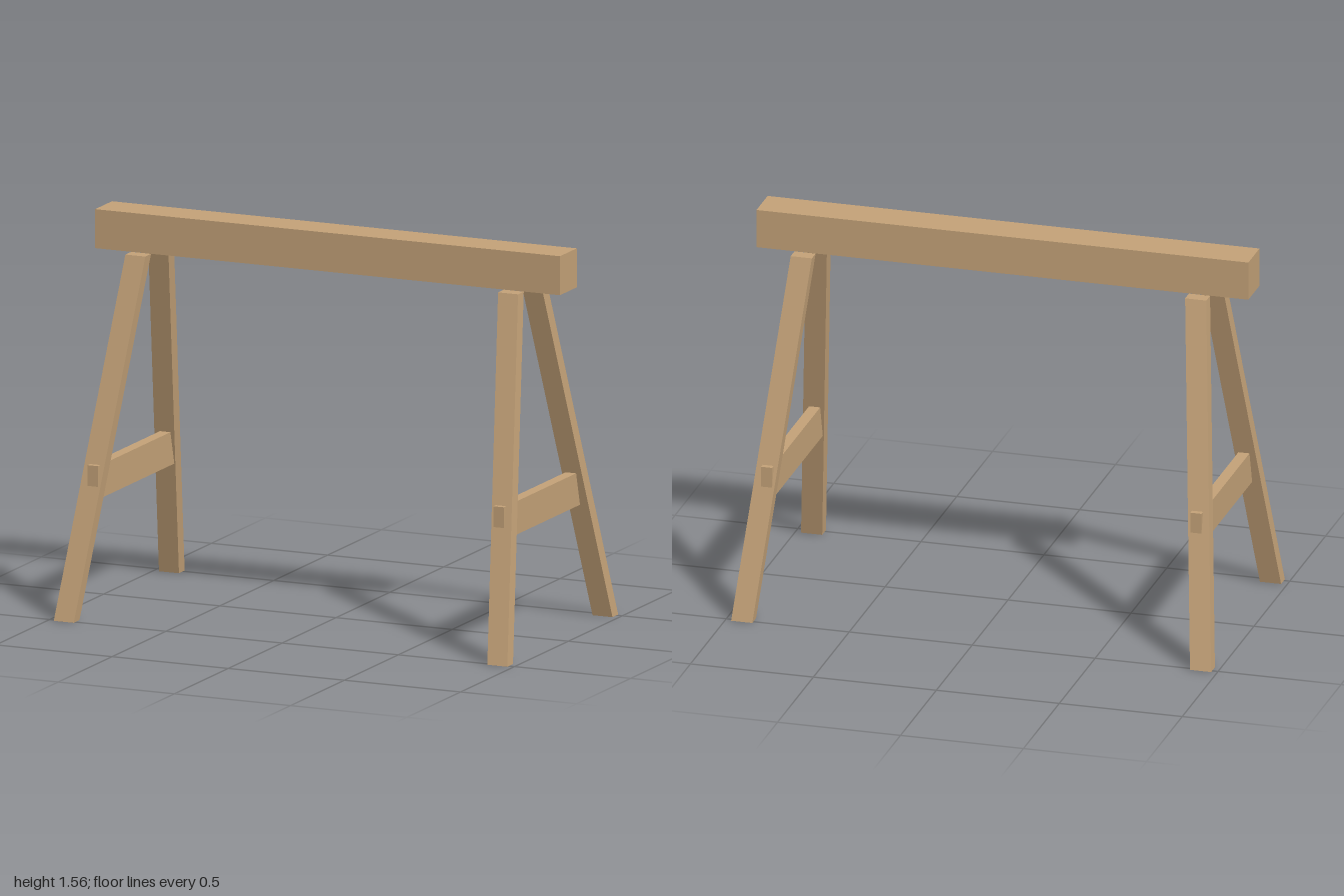
import * as THREE from 'three';

const wood = new THREE.MeshStandardMaterial({ color: 0xc4a278 });
wood.name = 'tan wood';

const BEAM_BOTTOM = 1.4;

function addBox(parent, name, size, position) {
  const mesh = new THREE.Mesh(new THREE.BoxGeometry(...size), wood);
  mesh.name = name;
  mesh.position.set(...position);
  parent.add(mesh);
}

// Upright post leaning outward in x and z, its ends cut level
function legGeometry(sx, sz) {
  const geometry = new THREE.BoxGeometry(0.086, BEAM_BOTTOM, 0.053);
  geometry.translate(0, BEAM_BOTTOM / 2, 0);
  const p = geometry.attributes.position;
  for (let i = 0; i < p.count; i++) {
    const t = p.getY(i) / BEAM_BOTTOM;
    p.setX(i, p.getX(i) + sx * THREE.MathUtils.lerp(0.933, 0.802, t));
    p.setZ(i, p.getZ(i) + sz * THREE.MathUtils.lerp(0.488, 0.106, t));
  }
  geometry.computeVertexNormals();
  return geometry;
}

export function createModel() {
  const model = new THREE.Group();
  model.name = 'sawhorse';

  // Top beam
  addBox(model, 'beam', [2, 0.156, 0.156], [0, BEAM_BOTTOM + 0.078, 0]);

  // A pair of splayed legs joined by a cross brace at each end
  for (const sx of [-1, 1]) {
    const trestle = new THREE.Group();
    trestle.name = sx > 0 ? 'leftTrestle' : 'rightTrestle';
    for (const sz of [-1, 1]) {
      const leg = new THREE.Mesh(legGeometry(sx, sz), wood);
      leg.name = sz > 0 ? 'frontLeg' : 'backLeg';
      trestle.add(leg);
    }
    // Brace ends poke through the legs
    addBox(trestle, 'brace', [0.045, 0.133, 0.746], [sx * 0.873, 0.535, 0]);
    model.add(trestle);
  }
  return model;
}
